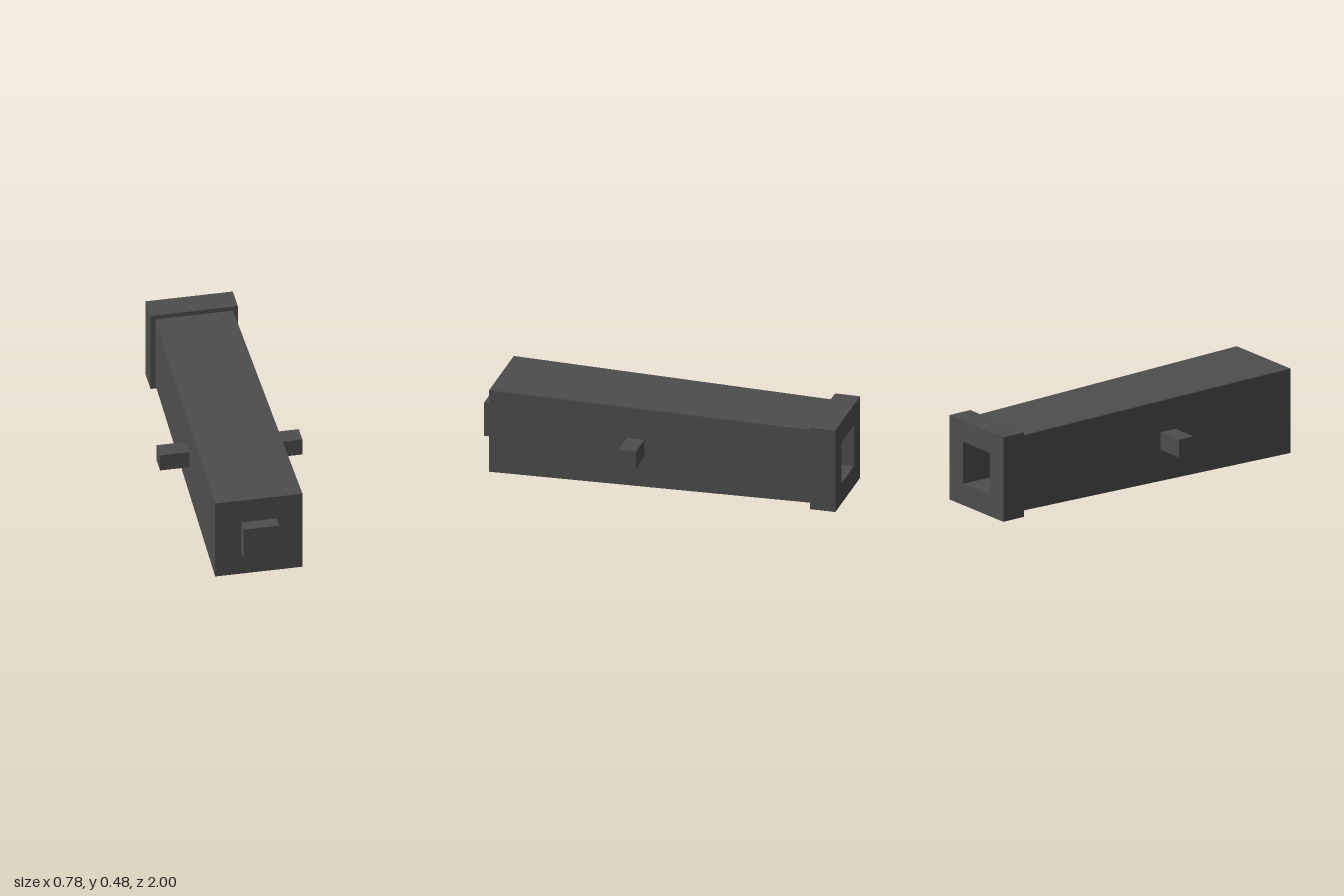
import * as THREE from 'three';

const CENTER_Y = 0.238;

// Square shell along z from [z, halfWidth] pairs; rising z faces outward
function squareShell(profile) {
  const points = profile.map(([z, half]) => new THREE.Vector2(half * Math.SQRT2, z));
  const geometry = new THREE.LatheGeometry(points, 4, Math.PI / 4).rotateX(Math.PI / 2).toNonIndexed();
  geometry.computeVertexNormals();
  return geometry;
}

export function createModel() {
  const group = new THREE.Group();
  const iron = new THREE.MeshStandardMaterial({ color: 0x4d4d4d });
  iron.name = 'dark iron';

  function add(name, geometry, x = 0, z = 0) {
    const mesh = new THREE.Mesh(geometry, iron);
    mesh.name = name;
    mesh.position.set(x, CENTER_Y, z);
    group.add(mesh);
  }

  // Tapered barrel, closed at the breech
  add('barrel', squareShell([[-0.86, 0.212], [0.93, 0.238], [0.93, 0]]));

  // Raised band around the muzzle, with its front ring and rear lip
  add('muzzleBand', squareShell([[-1, 0.119], [-1, 0.238], [-0.86, 0.238], [-0.86, 0.212]]));

  // Deep square bore, facing inward
  add('bore', squareShell([[0.6, 0], [0.6, 0.119], [-1, 0.119]]));

  // Knob on the breech
  add('breechKnob', new THREE.BoxGeometry(0.192, 0.192, 0.08), 0, 0.96);

  // Pivot stubs on both sides
  for (const [name, side] of [['leftTrunnion', 1], ['rightTrunnion', -1]]) {
    add(name, new THREE.BoxGeometry(0.178, 0.098, 0.098), side * 0.299, 0.116);
  }

  return group;
}
